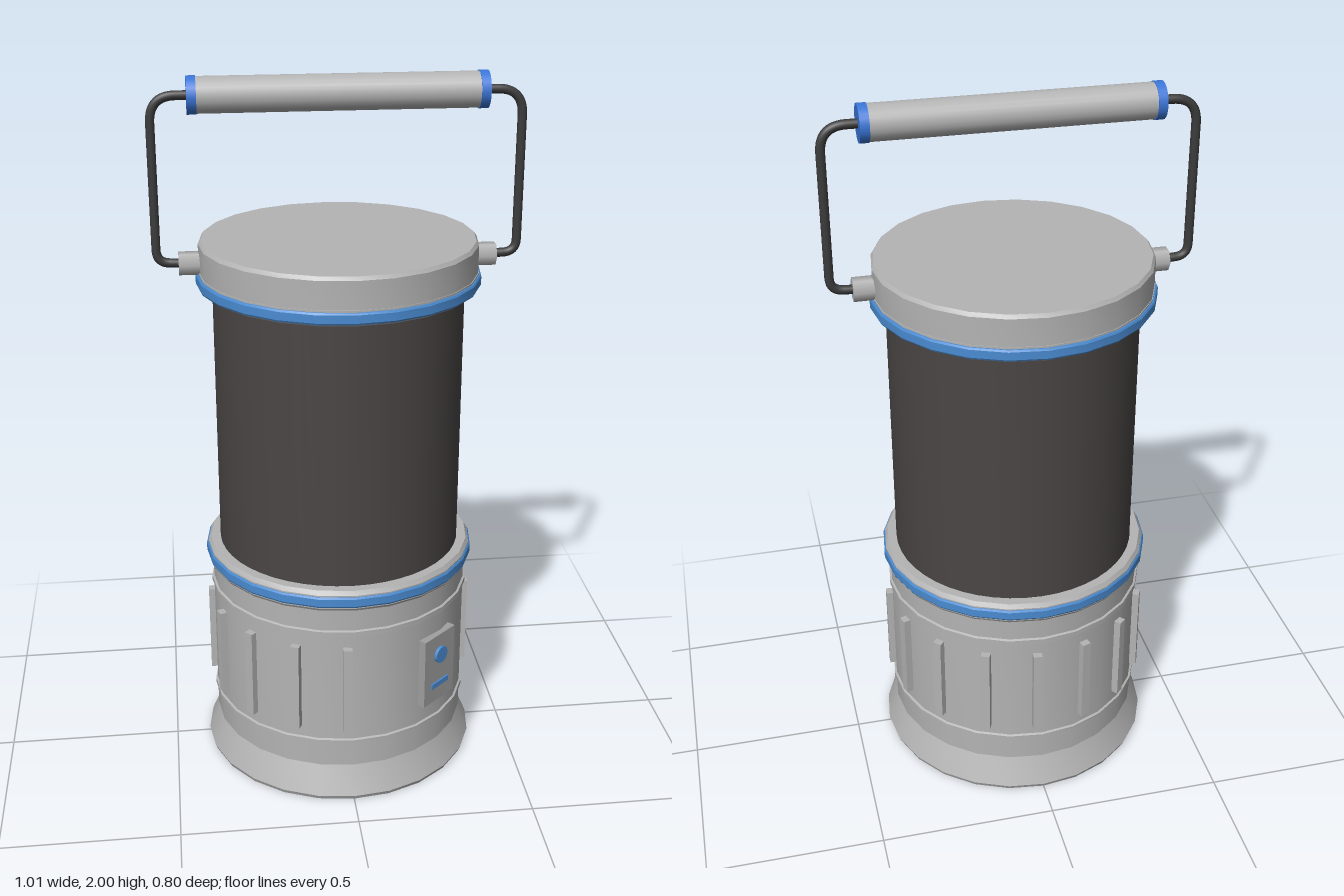
import * as THREE from 'three';
import { toCreasedNormals } from 'three/addons/utils/BufferGeometryUtils.js';

const mat = (name, color) => {
  const m = new THREE.MeshStandardMaterial({ color });
  m.name = name;
  return m;
};

export function createModel() {
  const lantern = new THREE.Group();
  lantern.name = 'lantern';

  const gray = mat('lightGray', 0xb4b4b4);
  const panelGray = mat('panelGray', 0xa0a0a0);
  const glass = mat('darkGlass', 0x4a4645);
  const bandBlue = mat('bandBlue', 0x4a8cd2);
  const capBlue = mat('gripBlue', 0x3a76d8);
  const wire = mat('wireDark', 0x3c3c3c);

  const add = (name, geometry, material, parent = lantern) => {
    const mesh = new THREE.Mesh(geometry, material);
    mesh.name = name;
    parent.add(mesh);
    return mesh;
  };
  // Turned part: profile of [radius, height], bottom to top
  const turned = (name, profile, material, sides = 24) => {
    const points = profile.map(([r, y]) => new THREE.Vector2(r, y));
    return add(name, toCreasedNormals(new THREE.LatheGeometry(points, sides), 0.5), material);
  };

  // Flared foot and battery housing
  turned('foot', [[0, 0], [0.395, 0], [0.4, 0.012], [0.362, 0.1], [0, 0.1]], gray);
  turned('housing', [[0, 0.1], [0.37, 0.1], [0.37, 0.62], [0, 0.62]], gray);
  for (const y of [0.18, 0.535]) {
    turned('housingRing', [[0.365, y - 0.012], [0.376, y - 0.007], [0.376, y + 0.007], [0.365, y + 0.012]], gray);
  }

  // Collar, window and cap
  turned('collar', [[0.35, 0.612], [0.378, 0.612], [0.383, 0.62], [0.383, 0.66], [0.375, 0.672], [0.345, 0.672]], gray);
  turned('window', [[0.347, 0.64], [0.347, 1.46]], glass, 48);
  turned('capRim', [[0.34, 1.432], [0.378, 1.432], [0.384, 1.438], [0.384, 1.475], [0.34, 1.475]], gray);
  turned('cap', [[0.34, 1.46], [0.382, 1.46], [0.382, 1.552], [0.375, 1.562], [0, 1.562]], gray);
  for (const [y, r] of [[0.64, 0.388], [1.454, 0.391]]) {
    turned('blueBand', [[0.37, y - 0.016], [r - 0.003, y - 0.016], [r, y - 0.011], [r, y + 0.011], [r - 0.003, y + 0.016], [0.37, y + 0.016]], bandBlue);
  }

  // Control panel, with grip ribs around the rest of the housing
  const panelAngle = THREE.MathUtils.degToRad(42.3);
  const panel = new THREE.Group();
  panel.name = 'controlPanel';
  panel.rotation.y = panelAngle;
  lantern.add(panel);
  add('panelPlate', new THREE.BoxGeometry(0.135, 0.215, 0.03), panelGray, panel).position.set(0, 0.357, 0.37);
  const button = add('button', new THREE.CylinderGeometry(0.025, 0.025, 0.016, 20), bandBlue, panel);
  button.rotation.x = Math.PI / 2;
  button.position.set(0, 0.4, 0.386);
  add('slot', new THREE.BoxGeometry(0.075, 0.016, 0.008), bandBlue, panel).position.set(0, 0.305, 0.386);

  for (let i = 2; i <= 14; i++) {
    const pivot = new THREE.Group();
    pivot.name = 'gripRib';
    pivot.rotation.y = panelAngle + i * Math.PI / 8;
    lantern.add(pivot);
    add('rib', new THREE.BoxGeometry(0.026, 0.265, 0.035), gray, pivot).position.set(0, 0.357, 0.37);
  }

  // Handle: grip, end caps, bent wires and hexagonal pivots
  const handle = new THREE.Group();
  handle.name = 'handle';
  lantern.add(handle);
  const rod = (name, r, length, x, y, sides, material) => {
    const mesh = add(name, new THREE.CylinderGeometry(r, r, length, sides), material, handle);
    mesh.rotation.z = Math.PI / 2;
    mesh.position.set(x, y, 0);
    return mesh;
  };
  rod('grip', 0.048, 0.75, 0, 1.95, 24, gray);
  const v = (x, y) => new THREE.Vector3(x, y, 0);
  for (const s of [-1, 1]) {
    rod('gripCap', 0.05, 0.025, s * 0.385, 1.95, 24, capBlue);
    const pivot = rod('pivot', 0.033, 0.07, s * 0.4, 1.5, 6, gray);
    if (s < 0) pivot.rotation.z = -Math.PI / 2;
    const path = new THREE.CurvePath();
    path.add(new THREE.LineCurve3(v(s * 0.39, 1.95), v(s * 0.425, 1.95)));
    path.add(new THREE.QuadraticBezierCurve3(v(s * 0.425, 1.95), v(s * 0.494, 1.95), v(s * 0.494, 1.88)));
    path.add(new THREE.LineCurve3(v(s * 0.494, 1.88), v(s * 0.494, 1.54)));
    path.add(new THREE.QuadraticBezierCurve3(v(s * 0.494, 1.54), v(s * 0.494, 1.502), v(s * 0.455, 1.502)));
    path.add(new THREE.LineCurve3(v(s * 0.455, 1.502), v(s * 0.42, 1.5)));
    add('wire', new THREE.TubeGeometry(path, 80, 0.0125, 10), wire, handle);
  }

  return lantern;
}
